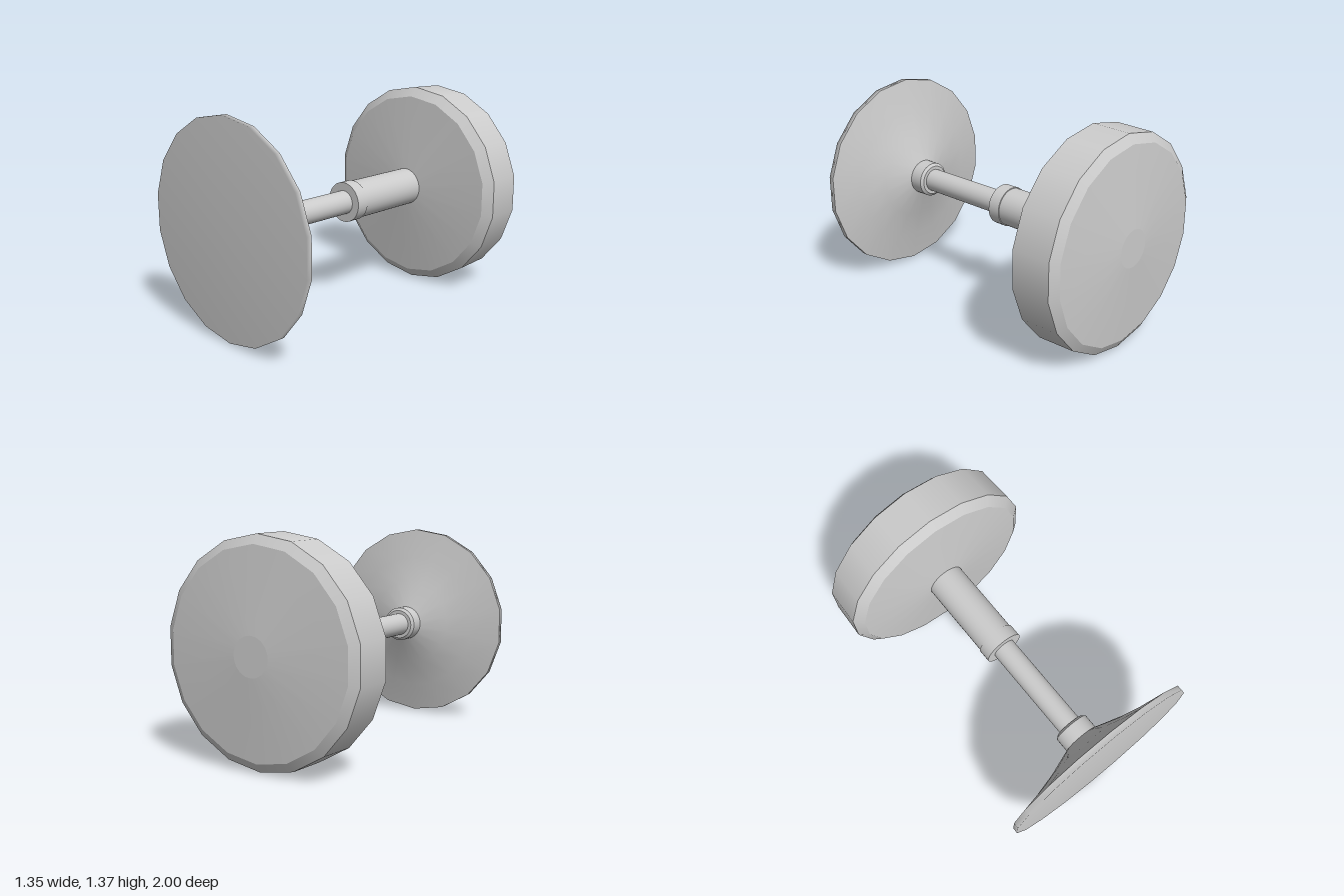
import * as THREE from 'three';
import { mergeGeometries } from 'three/addons/utils/BufferGeometryUtils.js';

const AXIS_Y = 0.685;

export function createModel() {
  const model = new THREE.Group();
  const material = new THREE.MeshStandardMaterial({ color: 0xcccccc });

  // Turns bands of [radius, z] points (back to front) about the z axis.
  // Each band is smooth; the joints between bands stay sharp.
  function turned(name, sides, bands) {
    const parts = bands.map((band) => {
      const points = band.map(([r, z]) => new THREE.Vector2(r, z));
      return new THREE.LatheGeometry(points, sides);
    });
    const geometry = mergeGeometries(parts);
    geometry.rotateX(Math.PI / 2);
    const mesh = new THREE.Mesh(geometry, material);
    mesh.name = name;
    mesh.position.y = AXIS_Y;
    model.add(mesh);
  }

  // Splits a profile so that every corner is sharp
  const sharp = (points) => points.slice(1).map((p, i) => [points[i], p]);

  // Flared front disc: hollow-curved back, flat face softly shaded into its rim
  turned('frontDisc', 18, [
    [[0.118, 0.81], [0.302, 0.875], [0.478, 0.922], [0.677, 0.963]],
    [[0.677, 0.963], [0.677, 1], [0, 1]],
  ]);

  // Collar behind the front disc, with a chamfered back edge
  turned('frontCollar', 36, sharp([[0.07, 0.7], [0.1, 0.7], [0.118, 0.715], [0.118, 0.82]]));

  // Thin rod
  turned('rod', 36, [[[0.077, 0], [0.077, 0.71]]]);

  // Ring at the mouth of the sleeve
  turned('sleeveRing', 36, sharp([[0.1, -0.05], [0.131, -0.05], [0.131, 0.036], [0.07, 0.036]]));

  // Thick sleeve
  turned('sleeve', 36, [[[0.125, -0.61], [0.125, -0.04]]]);

  // Drum-shaped back disc with bevelled edges and shallow conical faces
  turned('backDisc', 18, sharp([
    [0, -1], [0.12, -1], [0.62, -0.962], [0.676, -0.928],
    [0.685, -0.677], [0.625, -0.63], [0.125, -0.585], [0, -0.585],
  ]));

  return model;
}
